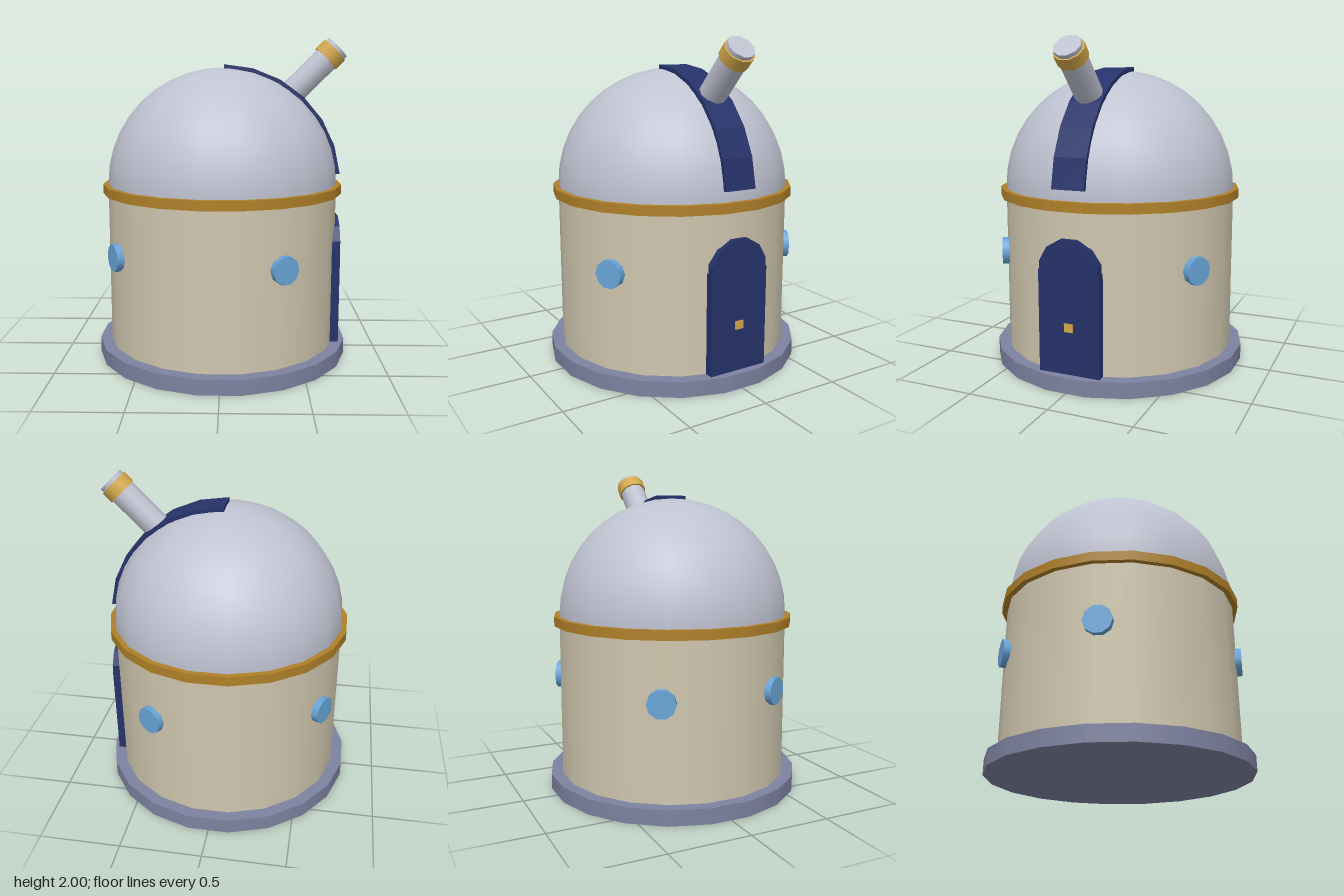
import * as THREE from 'three';

const paint = (name, color, extra = {}) => {
  const m = new THREE.MeshStandardMaterial({ color, ...extra });
  m.name = name;
  return m;
};

export function createModel() {
  const model = new THREE.Group();
  model.name = 'observatory';

  const stone = paint('slate stone', 0x7d82a0);
  const cream = paint('cream wall', 0xcfc6ae);
  const silver = paint('silver dome', 0xbfc3d1);
  const brass = paint('dark brass', 0xb08028);
  const gold = paint('light gold', 0xd4a84b);
  const navy = paint('navy', 0x26326a, { flatShading: true });
  const glass = paint('blue glass', 0x68a5d8);

  const add = (name, geometry, material, parent = model) => {
    const mesh = new THREE.Mesh(geometry, material);
    mesh.name = name;
    parent.add(mesh);
    return mesh;
  };

  // Round tower: every drum has 20 sides with a flat side facing each axis
  const SIDES = 20;
  const drum = (name, radius, y0, y1, material) => {
    const g = new THREE.CylinderGeometry(radius, radius, y1 - y0, SIDES);
    g.rotateY(Math.PI / SIDES);
    g.translate(0, (y0 + y1) / 2, 0);
    return add(name, g, material);
  };
  drum('base', 0.795, 0, 0.095, stone);
  drum('wall', 0.722, 0.095, 1.07, cream);
  drum('domeRing', 0.755, 1.04, 1.097, brass);

  const dome = new THREE.SphereGeometry(0.722, SIDES, 10, 0, Math.PI * 2, 0, Math.PI / 2);
  dome.rotateY(Math.PI / SIDES);
  add('dome', dome, silver).position.y = 1.097;

  // Segmented shutter strip that follows the dome from its crown to the +x side
  const shutter = new THREE.Shape();
  const steps = 6;
  const arcPoint = (radius, i) => {
    const a = THREE.MathUtils.degToRad(5 + 14 * i);
    return [radius * Math.cos(a), radius * Math.sin(a)];
  };
  shutter.moveTo(...arcPoint(0.74, 0));
  for (let i = 1; i <= steps; i++) shutter.lineTo(...arcPoint(0.74, i));
  for (let i = steps; i >= 0; i--) shutter.lineTo(...arcPoint(0.715, i));
  const strip = new THREE.ExtrudeGeometry(shutter, { depth: 0.2, bevelEnabled: false });
  strip.translate(0, 1.097, -0.1);
  add('domeShutter', strip, navy);

  // Telescope tilted 45 degrees, its own y axis pointing out of the dome
  const telescope = new THREE.Group();
  telescope.name = 'telescope';
  telescope.position.set(0.716, 1.941, 0);
  telescope.rotation.z = -Math.PI / 4;
  model.add(telescope);
  const tube = (name, radius, from, to, material) => {
    const g = new THREE.CylinderGeometry(radius, radius, to - from, 10);
    g.translate(0, (from + to) / 2, 0);
    add(name, g, material, telescope);
  };
  tube('telescopeTube', 0.083, -0.6, 0, silver);
  tube('telescopeBand', 0.093, -0.1, -0.025, gold);

  // Door slab with a faceted arch, facing +x
  const slab = new THREE.BoxGeometry(0.1, 0.61, 0.38);
  slab.translate(0.69, 0.395, 0);
  add('door', slab, navy);
  const arch = new THREE.CylinderGeometry(0.19, 0.19, 0.1, 12);
  arch.rotateY(Math.PI / 12);
  arch.rotateZ(-Math.PI / 2);
  arch.translate(0.69, 0.7, 0);
  add('doorArch', arch, navy);
  const handle = new THREE.BoxGeometry(0.03, 0.05, 0.054);
  handle.translate(0.731, 0.375, 0);
  add('doorHandle', handle, gold);

  // Four round windows around the wall
  for (const degrees of [60, 150, -150, -60]) {
    const pane = new THREE.CylinderGeometry(0.085, 0.085, 0.08, 10);
    pane.rotateY(Math.PI / 2);
    pane.rotateX(Math.PI / 2);
    pane.translate(0, 0.683, 0.713);
    pane.rotateY(THREE.MathUtils.degToRad(90 - degrees));
    add('window', pane, glass);
  }

  return model;
}
